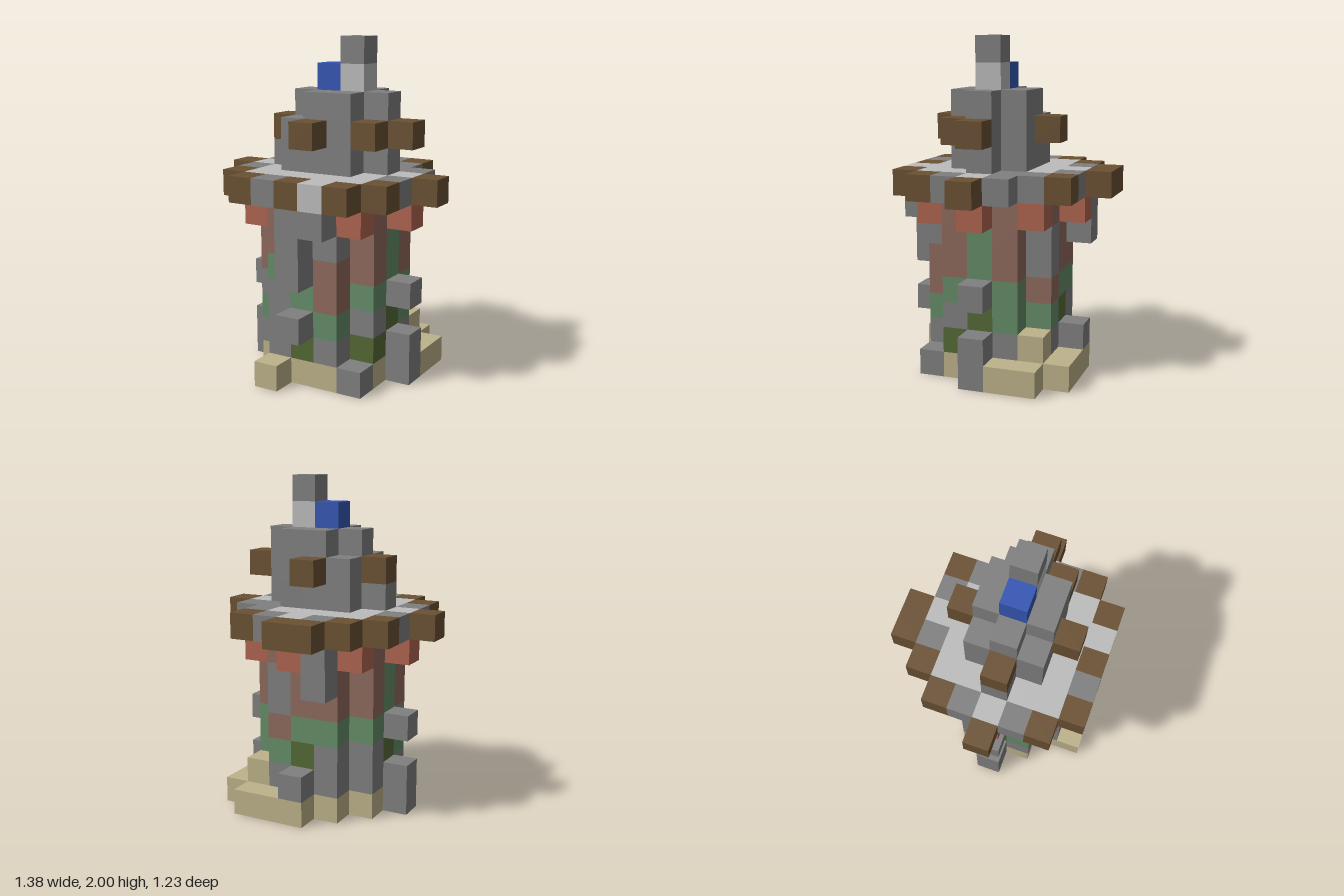
import * as THREE from 'three';
import { mergeGeometries } from 'three/addons/utils/BufferGeometryUtils.js';

const U = 2 / 13; // edge of one cube

const colours = {
  g: ['stoneGrey', 0x808080], l: ['paleStone', 0xbcbcbc], b: ['timberBrown', 0x6b5133],
  u: ['flagBlue', 0x3456b4], r: ['terracotta', 0xae644f], p: ['dustyBrick', 0x8f6a5d],
  n: ['mossGreen', 0x658d68], d: ['darkMoss', 0x556935], t: ['sandstone', 0xbdb28a],
  k: ['darkFloor', 0x4a4a4a],
};

// Floor plans, bottom to top. Rows run from back to front, columns from -x to +x.
const parts = {
  foundation: [
    ['', '....ttt', '...ttktt', '..tkkktt', '.gtkkkgg', '..tkkkt', '...tttg', '...t'],
  ],
  towerWalls: [
    ['', '....g', '...gdgt', '..ggggg', '.gdggggg', '..ggggd', '...gdg', ''],
    ['', '', '...gdn', '..ggggn', '..dgggd', '..ngggg', '...gnn', '....g'],
    ['', '', '...nnp', '..ngggn', '.gngggng', '..ggggn', '...gnp', ''],
    ['', '', '...ppg', '..pgggp', '..ngggn', '..pgggp', '...npp', '....g'],
    ['', '...g', '...ppg', '..pgggp', '..ngggn', '..pgggp', '...pgg', '....g'],
    ['', '...gr', '..rpppr', '..pgggp', '.rpgggpr', '..pgggp', '..rpggr', '....gg'],
  ],
  balcony: [
    ['...bb', '..bglgb', '.bllllg', '.gllllgg', 'blllllllb', '.glllllg', '.blllllb', '..bgblb'],
  ],
  dome: [
    ['', '', '', '...ggg', '..ggggg', '...ggg', '', ''],
    ['', '', '....b', '...ggg', '..bggggb', '...gggb', '....b', ''],
    ['', '', '', '....gg', '...gggg', '....gg', '', ''],
  ],
  finial: [
    ['', '', '', '', '....ul', '', '', ''],
    ['', '', '', '', '.....g', '', '', ''],
  ],
};

const layers = Object.values(parts).flat();
const cell = (x, y, z) => {
  const c = layers[y]?.[z]?.[x];
  return c && c !== '.' ? c : null;
};

// One outward square for each of the six directions
const sides = [[1, 0, 0], [-1, 0, 0], [0, 1, 0], [0, -1, 0], [0, 0, 1], [0, 0, -1]].map((dir) => {
  const face = new THREE.PlaneGeometry(U, U).translate(0, 0, U / 2);
  if (dir[0]) face.rotateY(dir[0] * Math.PI / 2);
  if (dir[1]) face.rotateX(-dir[1] * Math.PI / 2);
  if (dir[2] < 0) face.rotateY(Math.PI);
  return { dir, face };
});

export function createModel() {
  const model = new THREE.Group();
  model.name = 'tower';
  const materials = {};
  for (const [key, [name, color]] of Object.entries(colours)) {
    materials[key] = new THREE.MeshStandardMaterial({ color });
    materials[key].name = name;
  }

  let base = 0;
  for (const [partName, plans] of Object.entries(parts)) {
    const part = new THREE.Group();
    part.name = partName;
    const faces = {};
    // Keep only the exposed faces of each cube, sorted by colour
    plans.forEach((rows, i) => rows.forEach((row, z) => [...row].forEach((key, x) => {
      if (key === '.') return;
      const y = base + i;
      for (const { dir, face } of sides) {
        if (cell(x + dir[0], y + dir[1], z + dir[2])) continue;
        (faces[key] ??= []).push(face.clone().translate((x - 4) * U, (y + 0.5) * U, (z - 3.5) * U));
      }
    })));
    for (const [key, list] of Object.entries(faces)) {
      const mesh = new THREE.Mesh(mergeGeometries(list), materials[key]);
      mesh.name = `${partName} ${colours[key][0]}`;
      part.add(mesh);
    }
    model.add(part);
    base += plans.length;
  }
  return model;
}
